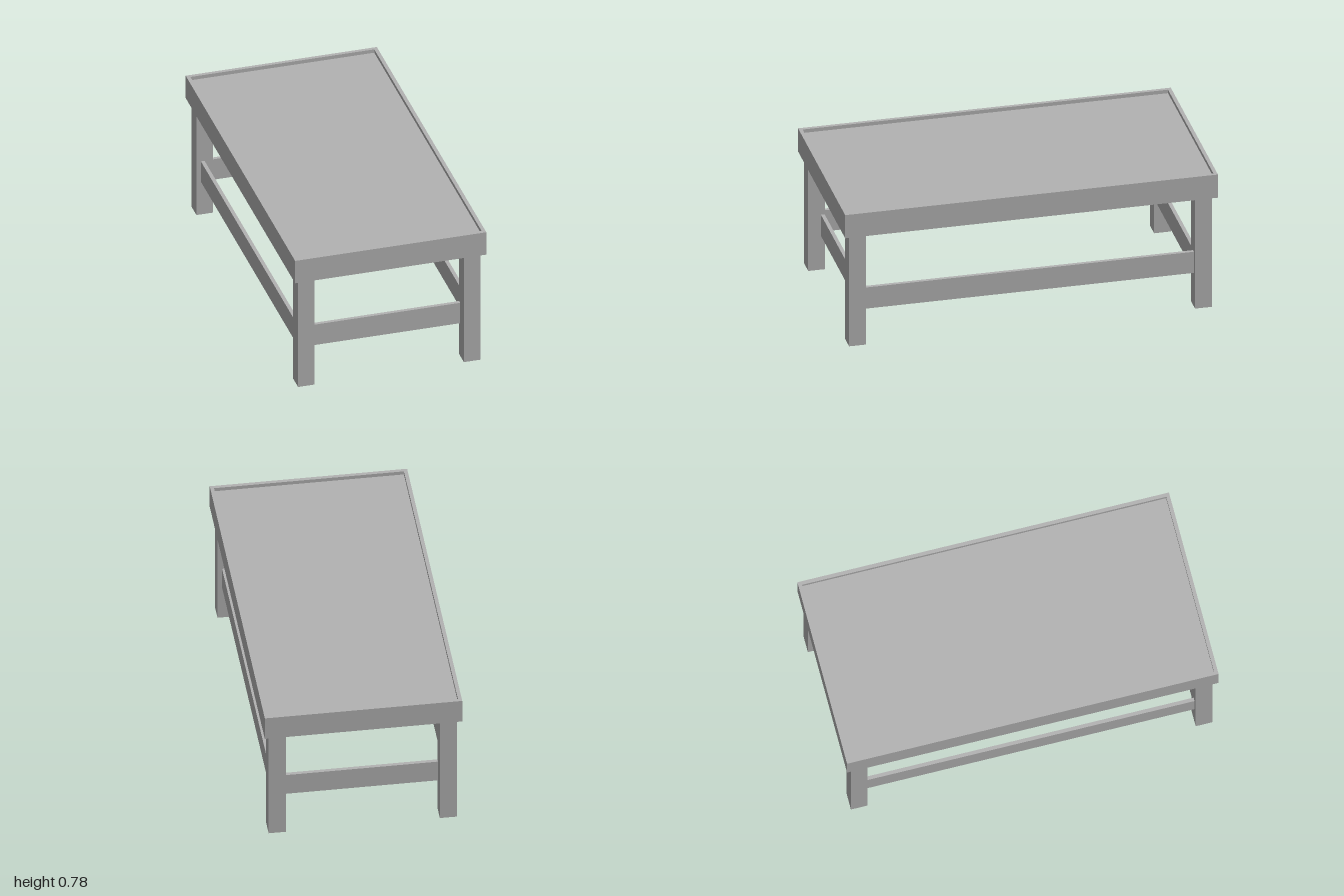
import * as THREE from 'three';

export function createModel() {
  const group = new THREE.Group();
  const grey = new THREE.MeshStandardMaterial({ color: 0xb2b2b2 });
  grey.name = 'plain grey';

  const addBox = (name, x0, x1, y0, y1, z0, z1) => {
    const mesh = new THREE.Mesh(new THREE.BoxGeometry(x1 - x0, y1 - y0, z1 - z0), grey);
    mesh.name = name;
    mesh.position.set((x0 + x1) / 2, (y0 + y1) / 2, (z0 + z1) / 2);
    group.add(mesh);
  };

  // Raised rim around the top: one mitred frame, extruded upwards
  const W = 0.52, L = 1, RIM = 0.02;
  const rect = (Type, x, y) => new Type([
    new THREE.Vector2(-x, -y), new THREE.Vector2(x, -y),
    new THREE.Vector2(x, y), new THREE.Vector2(-x, y),
  ]);
  const frame = rect(THREE.Shape, W, L);
  frame.holes.push(rect(THREE.Path, W - RIM, L - RIM));
  const rimGeometry = new THREE.ExtrudeGeometry(frame, { depth: 0.135, bevelEnabled: false });
  rimGeometry.rotateX(-Math.PI / 2);
  const rim = new THREE.Mesh(rimGeometry, grey);
  rim.name = 'tableRim';
  rim.position.y = 0.645;
  group.add(rim);

  // Table top panel, recessed inside the rim
  addBox('tableTop', -W + RIM, W - RIM, 0.67, 0.76, -L + RIM, L - RIM);

  // Four square legs
  for (const [side, sx] of [['Left', 1], ['Right', -1]]) {
    for (const [end, sz] of [['front', 1], ['back', -1]]) {
      const x = sx * 0.451, z = sz * 0.928;
      addBox(`${end}${side}Leg`, x - 0.045, x + 0.045, 0, 0.67, z - 0.045, z + 0.045);
    }
  }

  // Thin stretcher boards between the legs
  for (const [side, s] of [['left', 1], ['right', -1]]) {
    const x = s * 0.462;
    addBox(`${side}Stretcher`, x - 0.01, x + 0.01, 0.197, 0.32, -0.883, 0.883);
  }
  for (const [end, s] of [['front', 1], ['back', -1]]) {
    const z = s * 0.895;
    addBox(`${end}Stretcher`, -0.406, 0.406, 0.197, 0.32, z - 0.01, z + 0.01);
  }

  return group;
}
